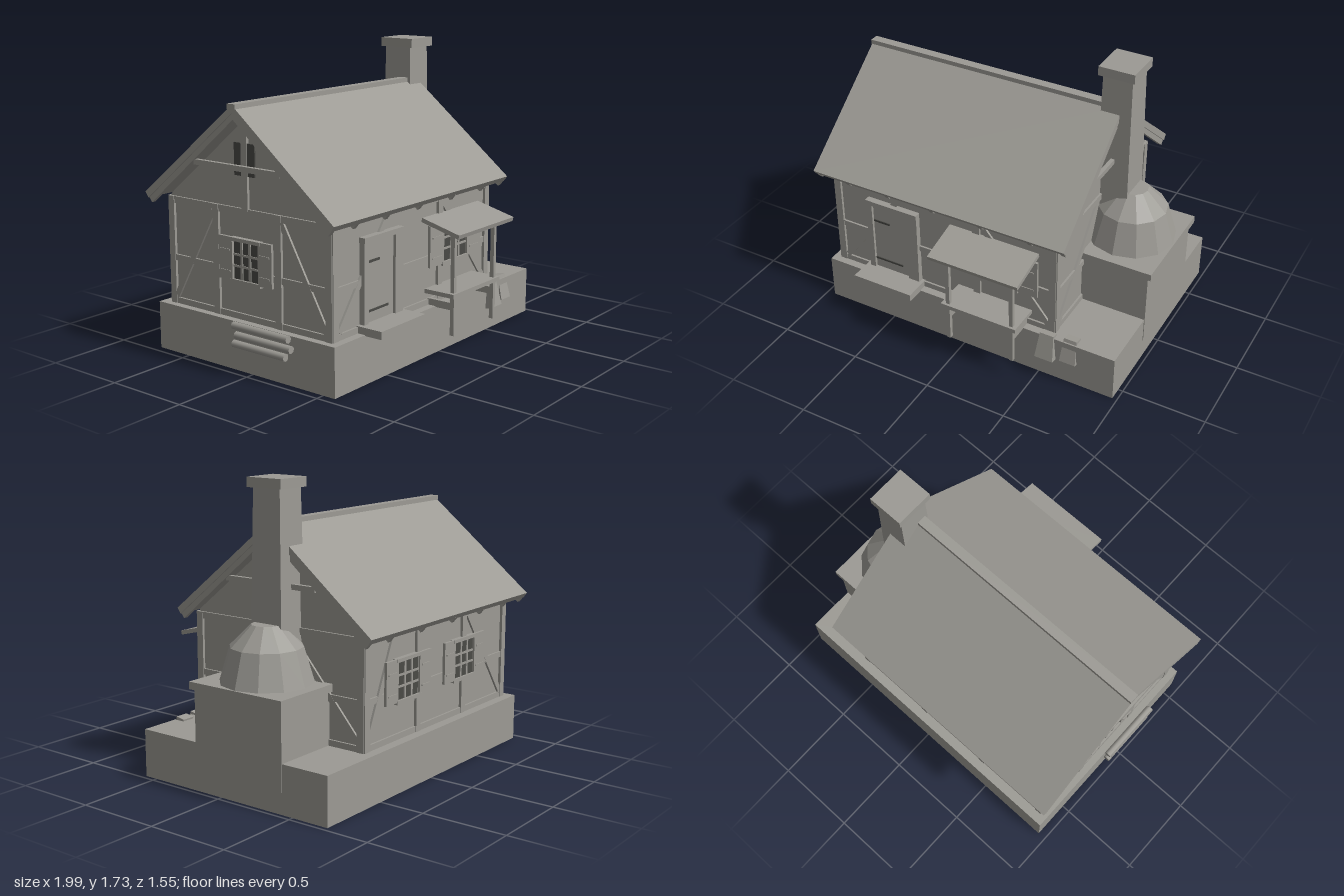
import * as THREE from 'three';

const stone = new THREE.MeshStandardMaterial({ color: 0x9c9a94 });
stone.name = 'warm grey';
const dark = new THREE.MeshStandardMaterial({ color: 0x4a4a46 });
dark.name = 'dark opening';

function add(parent, name, geo, mat = stone) {
  const m = new THREE.Mesh(geo, mat);
  m.name = name;
  parent.add(m);
  return m;
}

// Box given by its limits on each axis
function box(parent, name, x0, x1, y0, y1, z0, z1, mat) {
  const m = add(parent, name, new THREE.BoxGeometry(x1 - x0, y1 - y0, z1 - z0), mat);
  m.position.set((x0 + x1) / 2, (y0 + y1) / 2, (z0 + z1) / 2);
  return m;
}

// Box whose top is scaled relative to its bottom
function taperedBox(parent, name, w, h, d, sx, sz) {
  const geo = new THREE.BoxGeometry(w, h, d);
  const p = geo.attributes.position;
  for (let i = 0; i < p.count; i++)
    if (p.getY(i) > 0) p.setXYZ(i, p.getX(i) * sx, p.getY(i), p.getZ(i) * sz);
  geo.computeVertexNormals();
  return add(parent, name, geo);
}

// Cross-section of [z, y] points, extruded along x
function prism(parent, name, pts, x0, x1) {
  const shape = new THREE.Shape(pts.map(([z, y]) => new THREE.Vector2(-z, y)));
  const geo = new THREE.ExtrudeGeometry(shape, { depth: x1 - x0, bevelEnabled: false });
  geo.rotateY(Math.PI / 2).translate(x0, 0, 0);
  return add(parent, name, geo);
}

// Slanted timber in a wall plane
function brace(parent, u0, y0, u1, y1, w = 0.035) {
  const m = add(parent, 'brace', new THREE.BoxGeometry(Math.hypot(u1 - u0, y1 - y0), w, 0.02));
  m.position.set((u0 + u1) / 2, (y0 + y1) / 2, 0.003);
  m.rotation.z = Math.atan2(y1 - y0, u1 - u0);
}

// Wall plane: local x runs along the wall, z points outwards
function facade(parent, name, x, z, turn) {
  const g = new THREE.Group();
  g.name = name;
  g.position.set(x, 0, z);
  g.rotation.y = turn;
  parent.add(g);
  return g;
}

function timberFrame(g, u0, u1, posts) {
  for (const [y0, y1] of [[0.28, 0.315], [0.535, 0.57], [0.87, 0.91]])
    box(g, 'rail', u0, u1, y0, y1, -0.01, 0.012);
  for (const u of [u0 + 0.022, ...posts, u1 - 0.022])
    box(g, 'post', u - 0.022, u + 0.022, 0.28, 0.91, -0.01, 0.016);
}

function shutteredWindow(g, u, half, shutter) {
  const w = new THREE.Group();
  w.name = 'window';
  w.position.x = u;
  g.add(w);
  box(w, 'panes', -half, half, 0.51, 0.73, 0.012, 0.0175, dark);
  for (const x of [-half / 3, half / 3]) box(w, 'muntin', x - 0.008, x + 0.008, 0.51, 0.73, 0.012, 0.023);
  for (const y of [0.585, 0.65]) box(w, 'muntin', -half, half, y - 0.006, y + 0.006, 0.012, 0.023);
  box(w, 'windowSill', -half - 0.02, half + 0.02, 0.488, 0.51, 0, 0.03);
  box(w, 'windowHead', -half - 0.02, half + 0.02, 0.725, 0.745, 0, 0.03);
  for (const s of [-1, 1]) {
    const c = s * (half + shutter / 2 + 0.005);
    box(w, 'shutter', c - shutter / 2, c + shutter / 2, 0.5, 0.745, 0.012, 0.028);
    for (const y of [0.55, 0.67])
      box(w, 'hinge', c - shutter * 0.35, c + shutter * 0.35, y - 0.005, y + 0.005, 0.026, 0.033);
  }
}

export function createModel() {
  const house = new THREE.Group();
  house.name = 'house';

  // Plinth and solid wall body with gables
  box(house, 'plinth', -0.95, 0.972, 0, 0.28, -0.73, 0.58);
  prism(house, 'walls', [[0.52, 0.27], [0.52, 0.92], [-0.075, 1.4], [-0.66, 0.92], [-0.66, 0.27]], -0.895, 0.565);

  // Timbered front with window
  const front = facade(house, 'frontWall', 0, 0.52, 0);
  timberFrame(front, -0.905, 0.575, [0.065]);
  brace(front, -0.85, 0.32, -0.44, 0.87);
  brace(front, 0.09, 0.87, 0.54, 0.31);
  shutteredWindow(front, 0.205, 0.115, 0.14);

  // Door
  const door = new THREE.Group();
  door.name = 'door';
  front.add(door);
  box(door, 'doorLeaf', -0.64, -0.38, 0.3, 0.78, 0, 0.018);
  for (const x of [-0.65, -0.375, -0.34]) box(door, 'doorPost', x - 0.018, x + 0.018, 0.3, 0.8, 0, 0.035);
  box(door, 'lintel', -0.672, -0.322, 0.77, 0.8, 0, 0.04);
  box(door, 'upperHinge', -0.63, -0.52, 0.652, 0.665, 0.016, 0.024, dark);
  box(door, 'lowerHinge', -0.63, -0.44, 0.378, 0.39, 0.016, 0.024, dark);
  box(house, 'doorStep', -0.695, -0.3, 0.275, 0.32, 0.5, 0.69);

  // Back with two windows
  const back = facade(house, 'backWall', 0, -0.66, Math.PI);
  timberFrame(back, -0.575, 0.905, [-0.06, 0.42]);
  brace(back, -0.54, 0.32, -0.3, 0.87);
  brace(back, 0.86, 0.32, 0.47, 0.87);
  for (const u of [-0.175, 0.41]) shutteredWindow(back, u, 0.1, 0.115);

  // Gable ends
  const right = facade(house, 'rightWall', 0.565, 0, Math.PI / 2);
  const left = facade(house, 'leftWall', -0.895, 0, -Math.PI / 2);
  timberFrame(right, -0.53, 0.67, []);
  timberFrame(left, -0.67, 0.53, [-0.3, 0.16]);
  brace(right, -0.48, 0.32, -0.02, 0.87);
  brace(right, 0.64, 0.32, 0.16, 0.87);
  brace(left, -0.63, 0.32, -0.32, 0.87);
  brace(left, 0.49, 0.32, 0.18, 0.87);
  shutteredWindow(left, -0.07, 0.09, 0.1);
  box(left, 'kingPost', -0.097, -0.053, 0.9, 1.38, -0.01, 0.016);
  box(left, 'atticOpening', -0.15, 0, 1.09, 1.27, 0.004, 0.012, dark);

  // Roof slabs, rafters and ridge; s is the side, run is eave distance from the ridge
  const ridgeZ = -0.08;
  for (const [s, run] of [[1, 0.692], [-1, 0.692]]) {
    const at = (d, y) => [ridgeZ + s * d, y];
    const slab = [at(0, 1.485), at(run, 0.93), at(run - 0.024, 0.899), at(0, 1.441)];
    const rafter = [at(0, 1.443), at(run - 0.02, 0.904), at(run - 0.045, 0.873), at(0, 1.405)];
    if (s < 0) { slab.reverse(); rafter.reverse(); }
    prism(house, 'roofSlab', slab, -0.99, 0.655);
    for (const x of [-0.97, -0.77, -0.5, -0.2, 0.12, 0.43, 0.635])
      prism(house, 'rafter', rafter, x - 0.013, x + 0.013);
  }
  box(house, 'ridgeCap', -0.995, 0.56, 1.462, 1.49, -0.11, -0.053);
  for (const x of [-0.965, 0.63]) box(house, 'collarBeam', x - 0.012, x + 0.012, 1.13, 1.16, -0.39, 0.24);

  // Chimney and oven
  const stack = taperedBox(house, 'chimneyStack', 0.212, 1.1, 0.222, 0.83, 0.83);
  stack.position.set(0.633, 1.13, -0.13);
  box(house, 'chimneyCap', 0.525, 0.742, 1.675, 1.73, -0.246, -0.012);
  box(house, 'ovenBase', 0.55, 0.976, 0.125, 0.59, -0.432, 0.18);
  box(house, 'ovenSlab', 0.56, 1, 0.585, 0.628, -0.452, 0.197);
  const profile = [[0.265, 0.625], [0.205, 0.825], [0.085, 0.945], [0, 0.945]];
  const domeGeo = new THREE.LatheGeometry(profile.map(([r, y]) => new THREE.Vector2(r, y)), 12).toNonIndexed();
  domeGeo.computeVertexNormals();
  add(house, 'ovenDome', domeGeo).position.set(0.73, 0, -0.13);

  // Shop canopy and counter
  const canopy = add(house, 'canopy', new THREE.BoxGeometry(0.572, 0.025, 0.258));
  canopy.position.set(0.177, 0.758, 0.65);
  canopy.rotation.x = 0.25;
  box(house, 'counter', -0.068, 0.42, 0.353, 0.378, 0.52, 0.72);
  for (const x of [-0.03, 0.384]) {
    box(house, 'canopyPost', x - 0.012, x + 0.012, 0.125, 0.735, 0.68, 0.705);
    box(house, 'counterBracket', x - 0.012, x + 0.012, 0.275, 0.318, 0.52, 0.69);
  }

  // Sacks by the plinth
  const sackA = taperedBox(house, 'sack', 0.115, 0.16, 0.06, 0.75, 0.8);
  sackA.position.set(0.55, 0.215, 0.578);
  sackA.rotation.x = -0.2;
  const sackB = taperedBox(house, 'sack', 0.1, 0.15, 0.07, 0.8, 0.8);
  sackB.position.set(0.69, 0.222, 0.553);
  sackB.rotation.x = -0.2;

  // Stacked logs on the left side
  [[0.16, -0.12, 0.26], [0.212, -0.1, 0.3], [0.265, -0.12, 0.28]].forEach(([y, z0, z1]) => {
    const log = add(house, 'log', new THREE.CylinderGeometry(0.022, 0.022, z1 - z0, 8));
    log.rotation.x = Math.PI / 2;
    log.position.set(-0.97, y, (z0 + z1) / 2);
  });

  return house;
}
